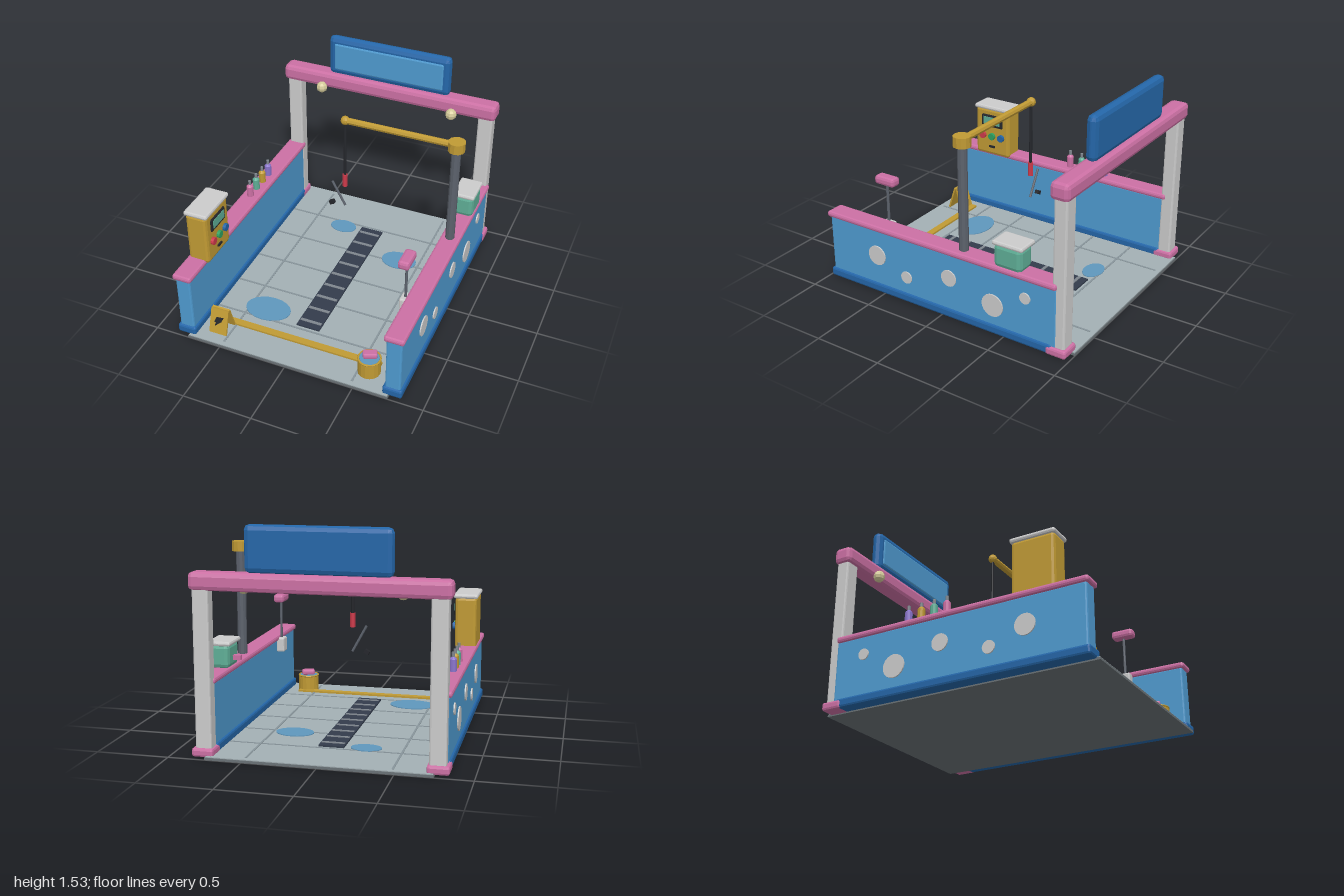
import * as THREE from 'three';
import { RoundedBoxGeometry } from 'three/addons/geometries/RoundedBoxGeometry.js';

const C = {
  grey: 0xcccccc, blue: 0x4f9bd0, darkBlue: 0x2466a8, pink: 0xcc70a4, gold: 0xc09a34, steel: 0x5c626c,
  black: 0x24262b, teal: 0x5fae96, red: 0xcc3a4a, cream: 0xd6cc9c, purple: 0x8a74cc, green: 0x2fa060,
  floor: 0xa3b0b4, slab: 0x6a7276, joint: 0x87949a, grate: 0x333c4c, slat: 0x7f868e, water: 0x5f97bd,
};

export function createModel() {
  const root = new THREE.Group();
  const mats = {};
  const mat = (key) => (mats[key] ??= new THREE.MeshStandardMaterial({ color: C[key], flatShading: true }));

  function add(name, geometry, color, x = 0, y = 0, z = 0) {
    const mesh = new THREE.Mesh(geometry, mat(color));
    mesh.name = name;
    mesh.position.set(x, y, z);
    root.add(mesh);
    return mesh;
  }
  // Box given by its limits, chamfered by r when r > 0
  function box(name, color, [x0, x1], [y0, y1], [z0, z1], r = 0) {
    const s = [x1 - x0, y1 - y0, z1 - z0];
    const g = r ? new RoundedBoxGeometry(...s, 1, r) : new THREE.BoxGeometry(...s);
    return add(name, g, color, (x0 + x1) / 2, (y0 + y1) / 2, (z0 + z1) / 2);
  }
  // Upright cylinder from y0 to y1
  function post(name, color, x, z, y0, y1, r, sides = 10, rTop = r) {
    return add(name, new THREE.CylinderGeometry(rTop, r, y1 - y0, sides), color, x, (y0 + y1) / 2, z);
  }
  // Disc facing along x
  function sideDisc(name, color, x, y, z, r, depth, sides = 20) {
    const m = add(name, new THREE.CylinderGeometry(r, r, depth, sides), color, x, y, z);
    m.rotation.z = Math.PI / 2;
    return m;
  }

  // Floor slab, tile joints, drain and puddles
  box('floorSlab', 'slab', [-0.75, 0.75], [0, 0.016], [-1, 1]);
  box('floorTop', 'floor', [-0.745, 0.745], [0.016, 0.022], [-0.995, 0.995]);
  for (const x of [-0.485, 0.48]) box('tileJoint', 'joint', [x - 0.007, x + 0.007], [0.02, 0.025], [-0.96, 0.96]);
  for (let i = -2; i <= 2; i++) box('tileJoint', 'joint', [-0.7, 0.7], [0.02, 0.025], [i * 0.32 - 0.012, i * 0.32 + 0.002]);
  box('drain', 'grate', [-0.09, 0.085], [0.02, 0.034], [-0.62, 0.61]);
  for (let i = -4; i <= 4; i++) {
    const z = i * 0.1385 - 0.003;
    box('drainSlat', 'slat', [-0.082, 0.077], [0.03, 0.039], [z - 0.011, z + 0.011]);
  }
  for (const [x, z, rx, rz] of [[-0.235, -0.585, 0.105, 0.073], [0.325, -0.35, 0.135, 0.097], [-0.35, 0.535, 0.17, 0.12]]) {
    post('puddle', 'water', x, z, 0.021, 0.028, 1, 20).scale.set(rx, 1, rz);
  }
  box('floorStripe', 'gold', [-0.62, 0.61], [0.02, 0.036], [0.725, 0.777]);

  // Side walls, back posts and bubble discs, mirrored
  const bubbles = [[0.545, 0.295, 0.073], [0.29, 0.2, 0.045], [-0.07, 0.31, 0.06], [-0.42, 0.22, 0.082], [-0.67, 0.355, 0.04]];
  for (const s of [-1, 1]) {
    const span = (a, b) => (s > 0 ? [a, b] : [-b, -a]);
    box('sideWall', 'blue', span(0.715, 0.825), [0.05, 0.49], [-0.9, 0.962], 0.012);
    box('wallBase', 'darkBlue', span(0.7, 0.84), [0.01, 0.075], [-0.87, 0.978], 0.015);
    box('wallCap', 'pink', span(0.7, 0.842), [0.482, 0.525], [-0.9, 0.98], 0.016);
    box('backPost', 'grey', span(0.712, 0.822), [0.04, 1.14], [-0.96, -0.865], 0.012);
    box('postFoot', 'pink', span(0.698, 0.845), [0.008, 0.067], [-0.98, -0.83], 0.016);
    for (const [z, y, r] of bubbles) sideDisc('bubble', 'grey', s * 0.825, y, z, r, 0.018);
    add('lamp', new THREE.SphereGeometry(0.043, 8, 6), 'cream', s * 0.518, 1.113, -0.825);
  }

  // Overhead beam and blank sign board
  box('beam', 'pink', [-0.845, 0.845], [1.103, 1.222], [-0.977, -0.84], 0.03);
  box('signBoard', 'darkBlue', [-0.478, 0.478], [1.22, 1.527], [-0.948, -0.868], 0.035);
  box('signPanel', 'blue', [-0.43, 0.43], [1.265, 1.48], [-0.89, -0.86], 0.012);

  // Boom with hanging hose, handle and spray wand
  const bx = 0.767, bz = -0.157, hx = -0.042;
  post('boomColumn', 'steel', bx, bz, 0.51, 1.28, 0.033);
  post('boomHead', 'gold', bx, bz, 1.262, 1.332, 0.06, 12);
  const arm = add('boomArm', new THREE.CylinderGeometry(0.024, 0.024, bx - hx, 8), 'gold', (bx + hx) / 2, 1.303, bz);
  arm.rotation.z = Math.PI / 2;
  add('boomTip', new THREE.SphereGeometry(0.033, 10, 8), 'gold', hx, 1.303, bz);
  post('hose', 'black', hx, bz, 0.84, 1.29, 0.011, 8);
  post('sprayHandle', 'red', hx, bz, 0.752, 0.852, 0.019, 8);
  const wand = add('sprayWand', new THREE.CylinderGeometry(0.009, 0.009, 0.21, 8), 'steel', -0.091, 0.672, bz);
  wand.rotation.z = 0.5;
  const nozzle = add('sprayNozzle', new THREE.BoxGeometry(0.036, 0.028, 0.03), 'black', -0.144, 0.58, bz);
  nozzle.rotation.z = 0.5;

  // Payment machine facing inward
  box('machineBody', 'gold', [-0.832, -0.675], [0.5, 0.885], [0.447, 0.755], 0.022);
  box('machineRoof', 'grey', [-0.842, -0.663], [0.877, 0.911], [0.437, 0.762], 0.014);
  box('screenFrame', 'black', [-0.69, -0.664], [0.737, 0.837], [0.505, 0.695], 0.01);
  box('screen', 'teal', [-0.67, -0.66], [0.76, 0.822], [0.525, 0.675]);
  ['red', 'green', 'darkBlue'].forEach((c, i) => sideDisc('button', c, -0.668, 0.66, 0.685 - i * 0.085, 0.028, 0.03, 12));
  box('cardSlot', 'black', [-0.68, -0.664], [0.564, 0.58], [0.575, 0.625]);

  // Soap bottles on the left-hand cap
  ['purple', 'gold', 'teal', 'pink'].forEach((c, i) => {
    const z = -0.36 + i * 0.1;
    post('bottle', c, -0.773, z, 0.52, 0.608, 0.026);
    post('bottleShoulder', c, -0.773, z, 0.608, 0.624, 0.026, 10, 0.012);
    post('bottleNeck', 'slat', -0.773, z, 0.62, 0.656, 0.011, 8);
  });

  // Soap tank with lid and tap
  box('tank', 'teal', [0.697, 0.842], [0.522, 0.69], [-0.645, -0.435], 0.03);
  box('tankLid', 'grey', [0.683, 0.848], [0.678, 0.71], [-0.657, -0.427], 0.013);
  box('tankTap', 'pink', [0.643, 0.71], [0.568, 0.602], [-0.56, -0.526]);

  // Long brush in a holder on the inner wall
  box('brushHolder', 'grey', [0.658, 0.72], [0.395, 0.505], [0.495, 0.585], 0.01);
  post('brushStick', 'steel', 0.69, 0.54, 0.42, 0.81, 0.01, 8);
  box('brushHead', 'pink', [0.648, 0.73], [0.787, 0.85], [0.458, 0.622], 0.02);

  // Folding floor sign: two leaning panels and a warning mark
  const lean = 0.31;
  for (const s of [-1, 1]) {
    const panel = add('floorSignPanel', new THREE.BoxGeometry(0.134, 0.19, 0.014), 'gold', -0.56, 0.117, 0.843 + s * 0.035);
    panel.rotation.x = -s * lean;
    if (s < 0) continue;
    const shape = new THREE.Shape([[-0.018, 0.03], [0.036, 0.036], [0.02, 0.0], [-0.026, -0.04], [-0.02, -0.008], [-0.034, -0.008]]
      .map(([x, y]) => new THREE.Vector2(x, y)));
    const mark = new THREE.Mesh(new THREE.ExtrudeGeometry(shape, { depth: 0.006, bevelEnabled: false }), mat('black'));
    mark.name = 'warningMark';
    mark.position.z = 0.005;
    panel.add(mark);
  }

  // Bucket with water and a sponge
  const ux = 0.552, uz = 0.825;
  post('bucket', 'gold', ux, uz, 0.02, 0.143, 0.08, 16);
  const rim = add('bucketRim', new THREE.TorusGeometry(0.076, 0.007, 6, 20), 'gold', ux, 0.143, uz);
  rim.rotation.x = Math.PI / 2;
  post('bucketWater', 'water', ux, uz, 0.14, 0.146, 0.07, 16);
  const sponge = add('sponge', new RoundedBoxGeometry(0.1, 0.042, 0.06, 1, 0.012), 'pink', ux, 0.168, uz - 0.01);
  sponge.rotation.y = 0.4;

  return root;
}
